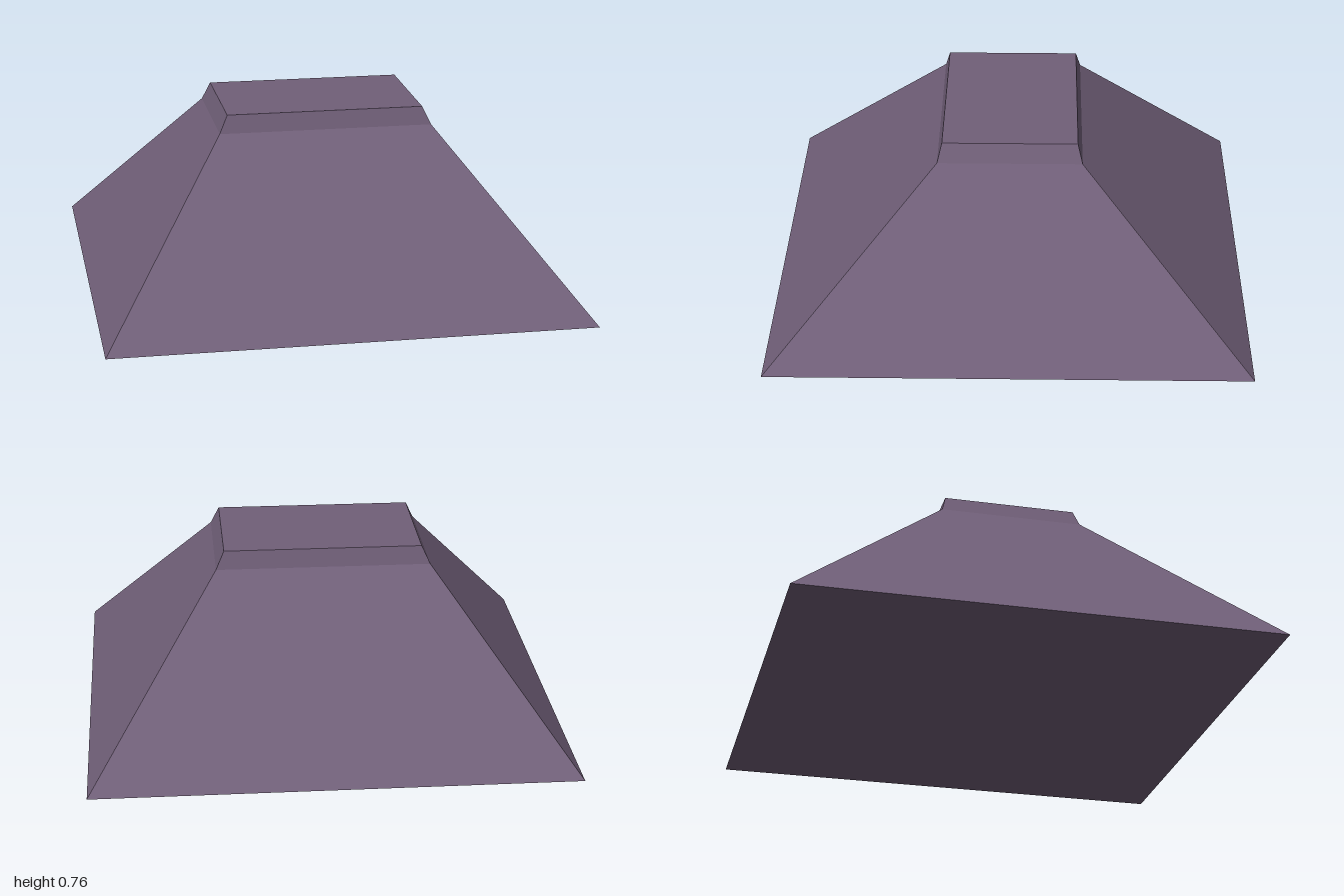
import * as THREE from 'three';

// Half width, half depth and height of each level, bottom to top
const levels = [
  { x: 1.0, z: 1.0, y: 0 },
  { x: 0.45, z: 0.3, y: 0.69 },
  { x: 0.415, z: 0.28, y: 0.765 },
];

// A closed box with one middle ring, its corners moved out to each level
function taperedBlock() {
  const box = new THREE.BoxGeometry(2, 2, 2, 1, levels.length - 1, 1);
  const p = box.attributes.position;
  for (let i = 0; i < p.count; i++) {
    const level = levels[Math.round(p.getY(i)) + 1];
    p.setXYZ(i, Math.sign(p.getX(i)) * level.x, level.y, Math.sign(p.getZ(i)) * level.z);
  }
  const flat = box.toNonIndexed();
  flat.computeVertexNormals();
  return flat;
}

export function createModel() {
  const group = new THREE.Group();
  group.name = 'taperedPlinth';

  const plum = new THREE.MeshStandardMaterial({ color: 0x705f78 });
  plum.name = 'dusty plum';

  // Sloping sides, steeper cap rim, flat top and underside
  const body = new THREE.Mesh(taperedBlock(), plum);
  body.name = 'plinthBody';
  group.add(body);

  return group;
}
